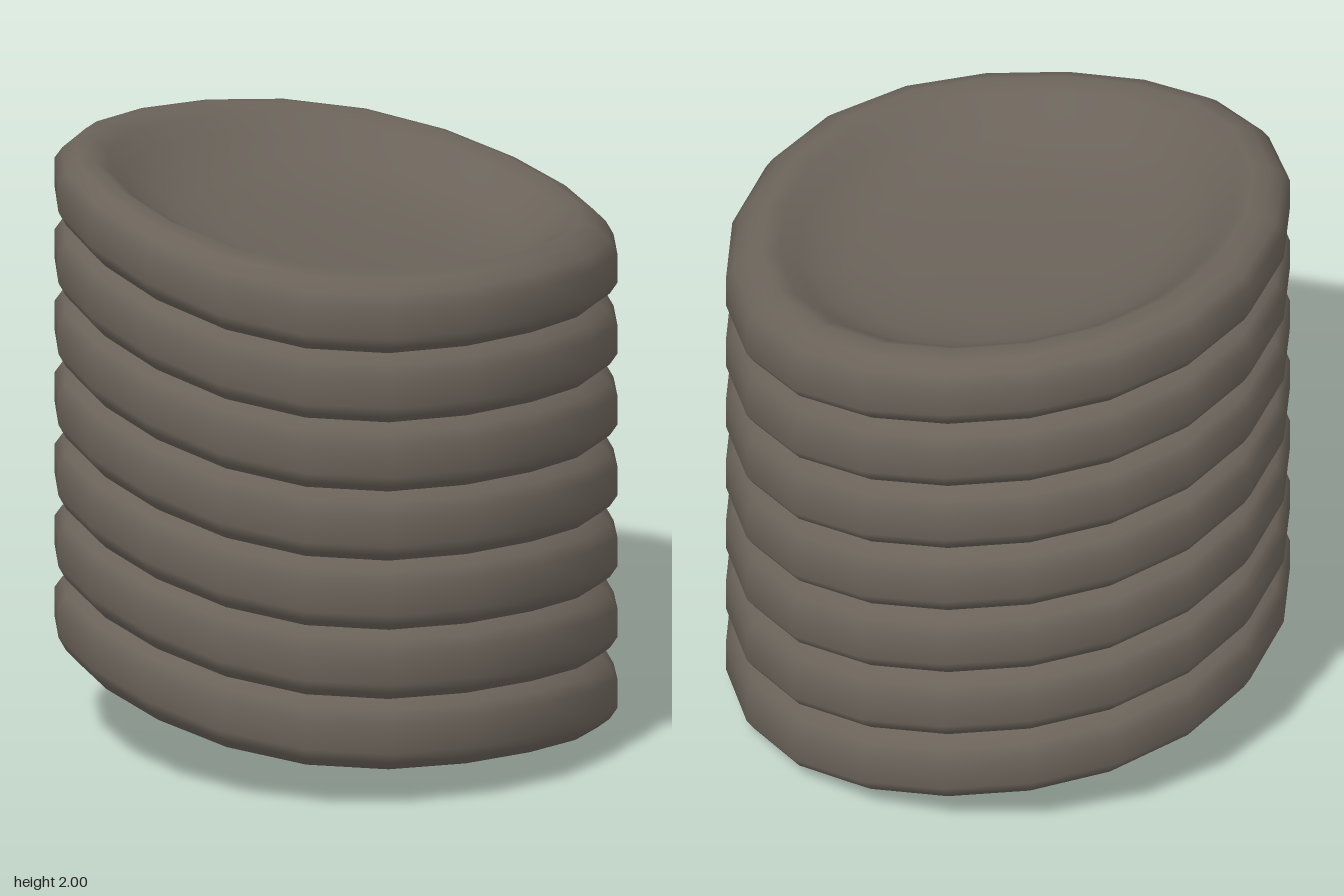
import * as THREE from 'three';
import { mergeVertices } from 'three/addons/utils/BufferGeometryUtils.js';

const RINGS = 7, FIRST = 0.27, PITCH = 0.2435, SIDES = 20;

// Half cross-sections of a ring: radius, height above its middle
const RIM = [[0.925, 0.05], [0.9, 0.09], [0.86, 0.125], [0.805, 0.14]];
const BOWL = [[0.75, 0.112], [0.69, 0.062], [0.62, 0.018], [0.52, -0.022], [0.35, -0.048], [0, -0.06]];
const FLAT = [[0.7, 0.125], [0, 0.12]];

// Rolled rim with a bowl or a flat face on either side, tilted and gently wavy;
// t runs from 0 at the bottom of the stack to 1 at the top and turns the tilt
function warpedRing(t, lowerFace, upperFace) {
  const lower = [...RIM, ...lowerFace].map(([r, y]) => new THREE.Vector2(r, -y)).reverse();
  const upper = [...RIM, ...upperFace].map(([r, y]) => new THREE.Vector2(r, y));
  let geo = new THREE.LatheGeometry([...lower, ...upper], SIDES);
  const tiltX = THREE.MathUtils.lerp(-0.096, -0.115, t);
  const tiltZ = THREE.MathUtils.lerp(0.072, 0.035, t);
  const p = geo.attributes.position;
  for (let i = 0; i < p.count; i++) {
    const x = p.getX(i) / 0.85, z = p.getZ(i) / 0.85;
    const tilt = tiltX * x + tiltZ * z;
    const saddle = 0.017 * (x * x - z * z);
    const wave = 0.015 * (x ** 3 - 3 * x * z * z) + 0.012 * (3 * x * x * z - z ** 3);
    p.setY(i, p.getY(i) + tilt + saddle + wave);
  }
  geo.deleteAttribute('normal');
  geo.deleteAttribute('uv');
  geo = mergeVertices(geo, 1e-4);
  geo.computeVertexNormals();
  return geo;
}

export function createModel() {
  const group = new THREE.Group();
  group.name = 'ringStack';
  const material = new THREE.MeshStandardMaterial({ color: 0x6b635a });
  material.name = 'warm grey';

  // Rings stacked so that their rims overlap; only the end faces are hollowed
  for (let i = 0; i < RINGS; i++) {
    const lowerFace = i === 0 ? BOWL : FLAT;
    const upperFace = i === RINGS - 1 ? BOWL : FLAT;
    const ring = new THREE.Mesh(warpedRing(i / (RINGS - 1), lowerFace, upperFace), material);
    ring.name = `ring${i + 1}`;
    ring.position.y = FIRST + i * PITCH;
    group.add(ring);
  }
  return group;
}
